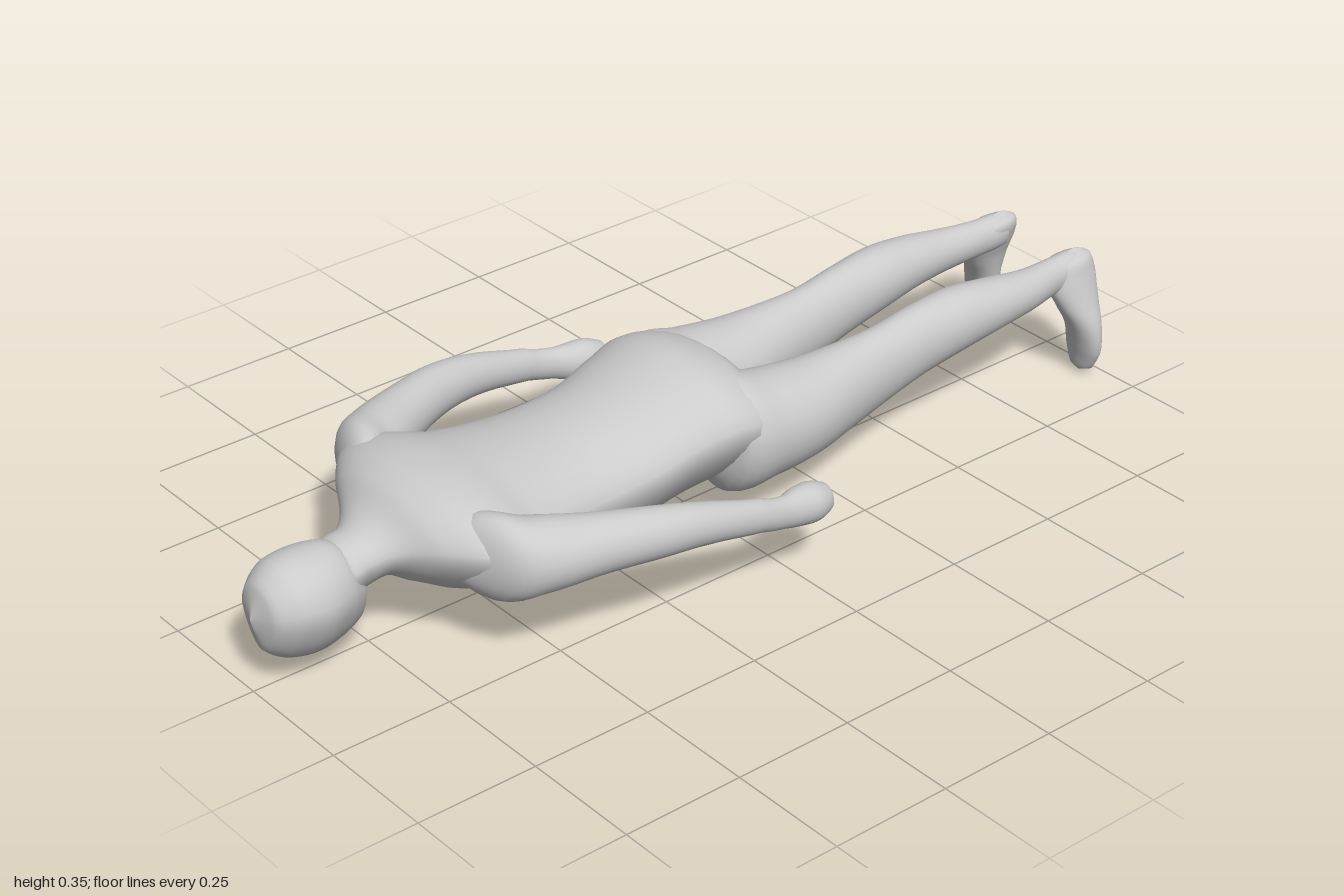
import * as THREE from 'three';

const SIDES = 32, STEPS = 5;
const material = new THREE.MeshStandardMaterial({ color: 0xcccccc });

// Smooth interpolation of one section value between rows
function spline(a, b, c, d, t) {
  const m0 = (c - a) / 2, m1 = (d - b) / 2;
  return (2 * b - 2 * c + m0 + m1) * t ** 3 + (3 * c - 3 * b - 2 * m0 - m1) * t * t + m0 * t + b;
}

// Skin over rounded sections along z. Row: [z, centreX, halfWidth, top, bottom].
// wide: height fraction of the widest point; taper: narrowing of the underside.
function loft(rows, { wide = 0.5, taper = 0 } = {}) {
  const pos = [], index = [];
  const last = (rows.length - 1) * STEPS;
  for (let i = 0; i <= last; i++) {
    const k = Math.min(Math.floor(i / STEPS), rows.length - 2), t = i / STEPS - k;
    const row = n => rows[THREE.MathUtils.clamp(n, 0, rows.length - 1)];
    const [z, cx, w, top, bot] = row(k).map((v, c) =>
      c === 0 ? THREE.MathUtils.lerp(v, row(k + 1)[0], t)
        : spline(row(k - 1)[c], v, row(k + 1)[c], row(k + 2)[c], t));
    const mid = bot + (top - bot) * wide;
    const size = i === 0 || i === last ? 0 : 1;
    for (let j = 0; j < SIDES; j++) {
      const a = j / SIDES * Math.PI * 2, s = Math.sin(a);
      const x = Math.max(w, 0.001) * Math.cos(a) * (1 - taper * Math.max(0, -s));
      const y = s * (s > 0 ? top - mid : mid - bot);
      pos.push(cx + x * size, mid + y * size, z);
      if (i < last) {
        const p = i * SIDES + j, q = i * SIDES + (j + 1) % SIDES;
        index.push(p, q, q + SIDES, p, q + SIDES, p + SIDES);
      }
    }
  }
  const g = new THREE.BufferGeometry();
  g.setAttribute('position', new THREE.Float32BufferAttribute(pos, 3));
  g.setIndex(index);
  g.computeVertexNormals();
  return g;
}

const TORSO = [
  [-0.13, 0, 0, 0.2, 0.19], [-0.1, 0, 0.13, 0.285, 0.1], [-0.05, 0, 0.195, 0.332, 0.078],
  [0.03, 0, 0.203, 0.354, 0.072], [0.1, 0, 0.19, 0.342, 0.062], [0.2, 0, 0.178, 0.312, 0.04],
  [0.3, -0.005, 0.178, 0.3, 0.03], [0.4, -0.003, 0.187, 0.302, 0.04], [0.5, 0, 0.21, 0.312, 0.055],
  [0.58, 0, 0.255, 0.324, 0.075], [0.64, 0, 0.235, 0.32, 0.1], [0.69, 0, 0.17, 0.3, 0.125],
  [0.73, 0, 0.1, 0.265, 0.145], [0.77, 0.003, 0.065, 0.248, 0.13], [0.82, 0.005, 0.06, 0.238, 0.12],
  [0.85, 0.005, 0, 0.19, 0.18],
];
const HEAD = [
  [0.755, 0.005, 0, 0.12, 0.09], [0.78, 0.005, 0.045, 0.2, 0.065], [0.82, 0.006, 0.073, 0.245, 0.05],
  [0.88, 0.007, 0.091, 0.255, 0.042], [0.94, 0.007, 0.083, 0.25, 0.055],
  [0.98, 0.007, 0.055, 0.22, 0.085], [1, 0.007, 0, 0.165, 0.145],
];
const ARM = [
  [-0.07, 0.345, 0, 0.165, 0.145], [-0.055, 0.346, 0.026, 0.185, 0.128], [-0.02, 0.348, 0.037, 0.2, 0.12],
  [0.02, 0.35, 0.033, 0.203, 0.125], [0.06, 0.357, 0.024, 0.205, 0.138], [0.12, 0.359, 0.026, 0.225, 0.155],
  [0.25, 0.35, 0.037, 0.264, 0.178], [0.35, 0.331, 0.048, 0.284, 0.182], [0.45, 0.294, 0.06, 0.292, 0.175],
  [0.55, 0.245, 0.08, 0.3, 0.155], [0.62, 0.19, 0.085, 0.305, 0.14], [0.69, 0.12, 0, 0.22, 0.2],
];
const LEG = [
  [-0.97, 0.107, 0, 0.25, 0.23], [-0.95, 0.107, 0.027, 0.278, 0.205], [-0.88, 0.11, 0.031, 0.28, 0.2],
  [-0.8, 0.118, 0.04, 0.285, 0.195], [-0.7, 0.119, 0.052, 0.3, 0.188], [-0.6, 0.114, 0.058, 0.31, 0.172],
  [-0.5, 0.11, 0.054, 0.303, 0.15], [-0.4, 0.108, 0.055, 0.288, 0.122], [-0.3, 0.108, 0.07, 0.284, 0.1],
  [-0.2, 0.108, 0.091, 0.285, 0.085], [-0.1, 0.107, 0.101, 0.3, 0.08], [0, 0.1, 0.1, 0.32, 0.08],
  [0.06, 0.1, 0, 0.25, 0.18],
];
// Foot sections run up from the toes: [y, centreX, halfWidth, sole, instep] measured backwards
const FOOT = [
  [0, 0.128, 0, 0.975, 0.965], [0.015, 0.13, 0.028, 0.986, 0.953], [0.06, 0.136, 0.044, 0.99, 0.942],
  [0.12, 0.138, 0.042, 0.992, 0.922], [0.18, 0.126, 0.036, 0.997, 0.89], [0.23, 0.113, 0.035, 1, 0.87],
  [0.265, 0.107, 0.03, 0.99, 0.88], [0.283, 0.107, 0, 0.96, 0.93],
];

export function createModel() {
  const group = new THREE.Group();
  const add = (name, geometry) => {
    const mesh = new THREE.Mesh(geometry, material);
    mesh.name = name;
    group.add(mesh);
  };
  add('torso', loft(TORSO, { wide: 0.6, taper: 0.25 }));
  add('head', loft(HEAD, { wide: 0.55, taper: 0.25 }));

  for (const [side, s] of [['left', 1], ['right', -1]]) {
    const mirror = rows => rows.map(([t, x, ...rest]) => [t, x * s, ...rest]);
    // The right hand reaches slightly further back
    const reach = s < 0 ? 0.018 : 0;
    const arm = ARM.map(([z, ...rest]) => [z - reach * Math.max(0, 1 - (z + 0.07) / 0.5), ...rest]);
    add(side + 'Arm', loft(mirror(arm)));
    add(side + 'Leg', loft(mirror(LEG), { wide: 0.52 }));
    // The right foot is turned out further than the left
    const splay = s < 0 ? 0.036 : 0;
    const foot = FOOT.map(([y, x, ...rest]) => [y, x + splay * (1 - y / 0.283), ...rest]);
    add(side + 'Foot', loft(mirror(foot)).rotateX(-Math.PI / 2));
  }
  return group;
}
